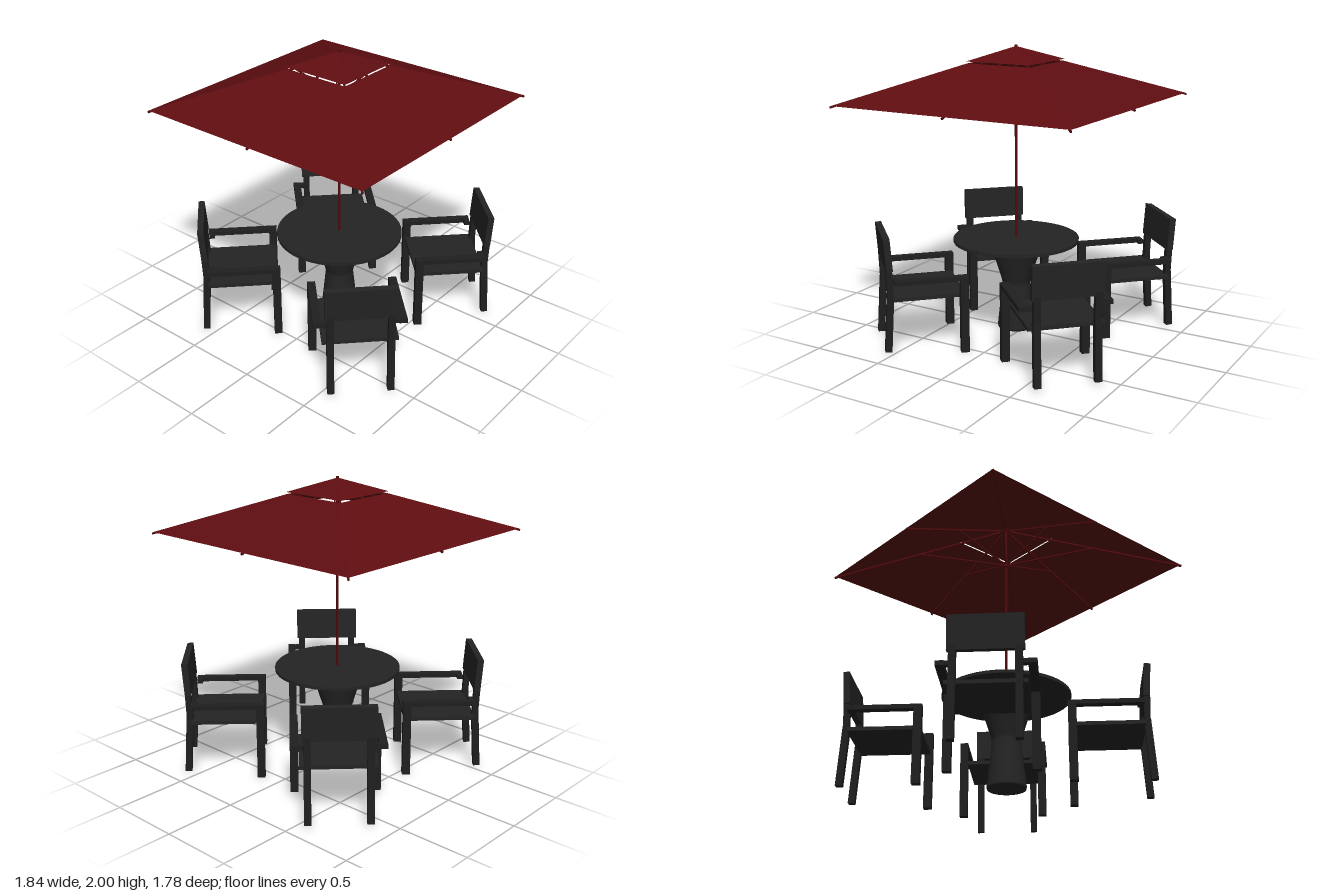
import * as THREE from 'three';

const frameMat = new THREE.MeshStandardMaterial({ color: 0x1f1f1f });
frameMat.name = 'charcoal frame';
const panelMat = new THREE.MeshStandardMaterial({ color: 0x242424 });
panelMat.name = 'dark grey';
const clothMat = new THREE.MeshStandardMaterial({ color: 0x5e0d10, side: THREE.DoubleSide, flatShading: true });
clothMat.name = 'canopy red';
const poleMat = new THREE.MeshStandardMaterial({ color: 0x520a0b });
poleMat.name = 'pole red';

function add(parent, name, geo, mat, x = 0, y = 0, z = 0) {
  const m = new THREE.Mesh(geo, mat);
  m.name = name;
  m.position.set(x, y, z);
  parent.add(m);
  return m;
}

// Square bar of width w and thickness t running from a to b
function bar(parent, name, a, b, w, t, mat) {
  const p = new THREE.Vector3(...a), q = new THREE.Vector3(...b);
  const d = q.clone().sub(p);
  const m = add(parent, name, new THREE.BoxGeometry(w, d.length(), t), mat);
  m.position.copy(p).add(q).multiplyScalar(0.5);
  m.quaternion.setFromUnitVectors(new THREE.Vector3(0, 1, 0), d.normalize());
  return m;
}

// Chair with its back at z = 0, facing +z
function createChair() {
  const chair = new THREE.Group();
  chair.name = 'chair';
  for (const s of [-1, 1]) {
    add(chair, 'frontLeg', new THREE.BoxGeometry(0.054, 0.5, 0.054), frameMat, s * 0.273, 0.25, 0.489);
    add(chair, 'armrest', new THREE.BoxGeometry(0.054, 0.03, 0.488), frameMat, s * 0.273, 0.515, 0.272);
    bar(chair, 'backLeg', [s * 0.195, 0.02, -0.012], [s * 0.195, 0.42, 0.012], 0.045, 0.045, frameMat);
    bar(chair, 'backPost', [s * 0.195, 0.41, 0.012], [s * 0.195, 0.6, 0.004], 0.045, 0.04, frameMat);
    // Short bracket tying the armrest to the back post
    add(chair, 'armBracket', new THREE.BoxGeometry(0.05, 0.028, 0.04), frameMat, s * 0.23, 0.515, 0.05);
  }
  add(chair, 'seat', new THREE.BoxGeometry(0.492, 0.025, 0.48), panelMat, 0, 0.388, 0.262);
  bar(chair, 'backrest', [0, 0.577, 0.008], [0, 0.8, -0.008], 0.46, 0.042, panelMat);
  return chair;
}

function createTable() {
  const table = new THREE.Group();
  table.name = 'table';
  add(table, 'tableTop', new THREE.CylinderGeometry(0.434, 0.434, 0.022, 48), panelMat, 0, 0.665, 0);
  const profile = [[0, 0.025], [0.127, 0.025], [0.13, 0.04], [0.097, 0.345], [0.1, 0.37],
    [0.165, 0.58], [0.178, 0.63], [0.188, 0.655]];
  add(table, 'pedestal', new THREE.LatheGeometry(profile.map(p => new THREE.Vector2(...p)), 40), panelMat);
  return table;
}

// Four-sided open canopy section
function canopySection(parent, name, topHalf, topY, bottomHalf, bottomY) {
  const geo = new THREE.CylinderGeometry(topHalf * Math.SQRT2, bottomHalf * Math.SQRT2, topY - bottomY, 4, 1, true);
  geo.rotateY(Math.PI / 4);
  add(parent, name, geo, clothMat, 0, (topY + bottomY) / 2, 0);
}

function createUmbrella() {
  const umbrella = new THREE.Group();
  umbrella.name = 'umbrella';
  add(umbrella, 'pole', new THREE.CylinderGeometry(0.009, 0.009, 1.31, 12), poleMat, 0, 1.325, 0);
  add(umbrella, 'finial', new THREE.CylinderGeometry(0.011, 0.011, 0.022, 12), poleMat, 0, 1.989, 0);
  add(umbrella, 'hub', new THREE.CylinderGeometry(0.02, 0.02, 0.03, 12), poleMat, 0, 1.68, 0);
  canopySection(umbrella, 'canopy', 0.235, 1.884, 0.868, 1.636);
  canopySection(umbrella, 'ventCap', 0.001, 1.99, 0.24, 1.897);
  // Ribs run to the corners and edge middles, each held by a strut
  for (let i = 0; i < 8; i++) {
    const reach = 0.872 * (i % 2 ? Math.SQRT2 : 1);
    const rib = new THREE.Group();
    rib.name = 'ribAssembly';
    rib.rotation.y = i * Math.PI / 4;
    bar(rib, 'rib', [0, 1.965, 0], [0, 1.626, reach], 0.012, 0.012, poleMat);
    bar(rib, 'strut', [0, 1.68, 0], [0, 1.795, reach * 0.5], 0.009, 0.009, poleMat);
    umbrella.add(rib);
  }
  return umbrella;
}

export function createModel() {
  const model = new THREE.Group();
  model.name = 'patioSet';
  for (const part of [createTable(), createUmbrella()]) {
    part.position.set(-0.04, 0, 0.012);
    model.add(part);
  }
  // Chairs on the diagonals, facing the table
  for (const x of [-0.664, 0.726]) {
    for (const z of [-0.698, 0.693]) {
      const chair = createChair();
      chair.position.set(x, 0, z);
      chair.rotation.y = Math.atan2(-Math.sign(x), -Math.sign(z));
      model.add(chair);
    }
  }
  return model;
}
